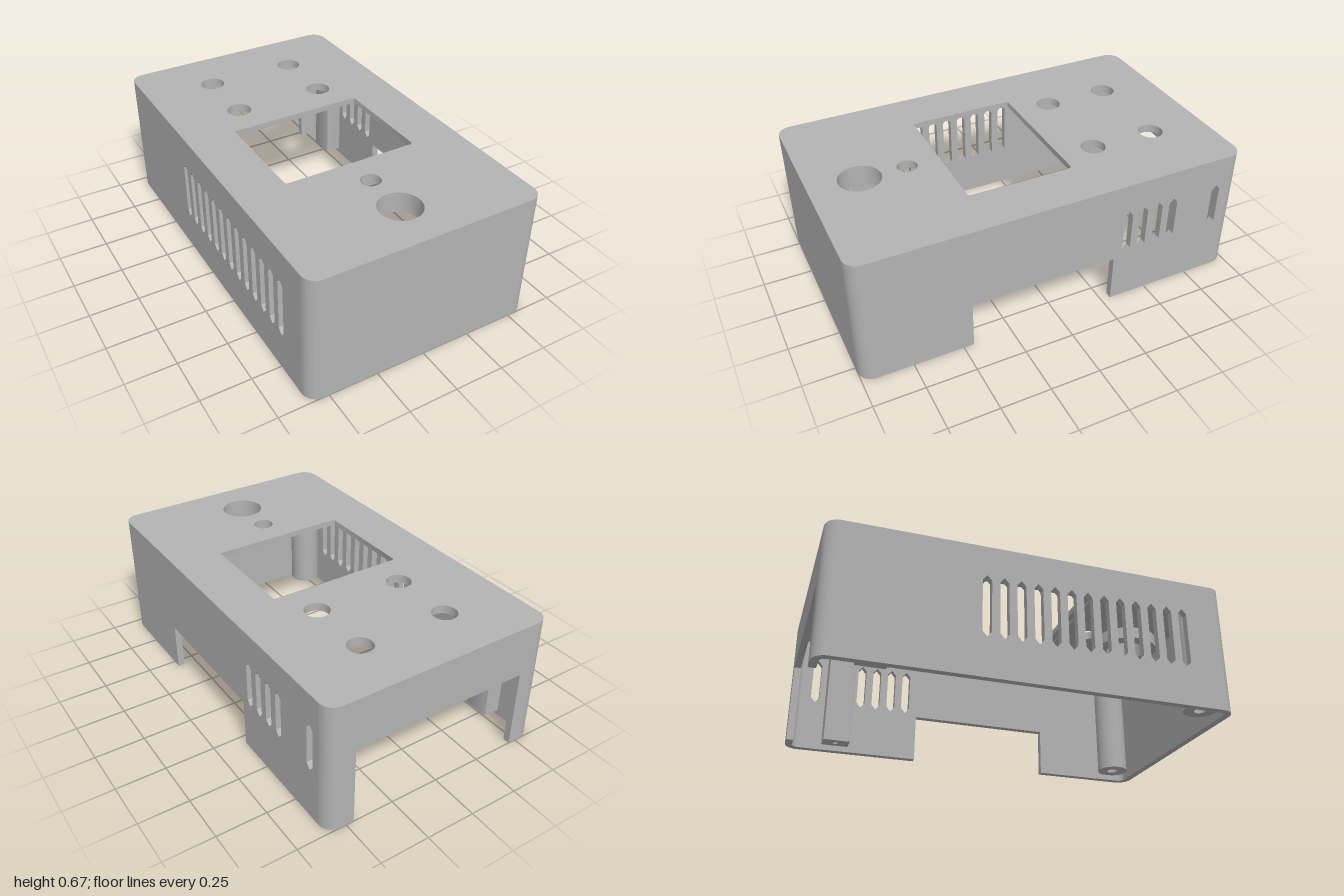
import * as THREE from 'three';
import { toCreasedNormals } from 'three/addons/utils/BufferGeometryUtils.js';

const W = 0.6, L = 1, H = 0.67, T = 0.035, R = 0.07, ROOF = 0.64;

export function createModel() {
  const model = new THREE.Group();
  model.name = 'enclosure';
  const grey = new THREE.MeshStandardMaterial({ color: 0xb3b3b3 });
  grey.name = 'grey plastic';

  const extrude = (shape, depth) => toCreasedNormals(
    new THREE.ExtrudeGeometry(shape, { depth, bevelEnabled: false, curveSegments: 20 }), 0.6);
  const add = (name, geometry) => {
    const mesh = new THREE.Mesh(geometry, grey);
    mesh.name = name;
    model.add(mesh);
    return mesh;
  };
  const polygon = (pts, Type = THREE.Shape) => new Type(pts.map(([x, y]) => new THREE.Vector2(x, y)));
  const circle = (x, y, r, Type = THREE.Path) => new Type().absarc(x, y, r, 0, Math.PI * 2);
  const rounded = (x0, y0, x1, y1, r, Type = THREE.Shape) => {
    const p = new Type();
    p.absarc(x1 - r, y1 - r, r, 0, Math.PI / 2);
    p.absarc(x0 + r, y1 - r, r, Math.PI / 2, Math.PI);
    p.absarc(x0 + r, y0 + r, r, Math.PI, Math.PI * 1.5);
    p.absarc(x1 - r, y0 + r, r, Math.PI * 1.5, Math.PI * 2);
    p.closePath();
    return p;
  };
  // Horizontal slab: shape drawn in (x, -z), occupying y0..y1
  const slab = (name, shape, y0, y1) => add(name, extrude(shape, y1 - y0).rotateX(-Math.PI / 2).translate(0, y0, 0));
  // Upright tube with a round bore
  const tube = (name, x, z, r, bore, y0, y1) => {
    const s = circle(x, -z, r, THREE.Shape);
    s.holes.push(circle(x, -z, bore));
    slab(name, s, y0, y1);
  };
  // Vent slot with pointed ends
  const slot = (z, y0, y1) => {
    const w = 0.0225, t = 0.026;
    return polygon([[z, y0], [z + w, y0 + t], [z + w, y1 - t], [z, y1], [z - w, y1 - t], [z - w, y0 + t]], THREE.Path);
  };
  // Wall outline with an optional opening [from, to, height] along the bottom
  const wall = (half, opening) => {
    const pts = [[-half, 0]];
    if (opening) {
      const [a, b, h] = opening;
      pts.push([a, 0], [a, h], [b, h], [b, 0]);
    }
    pts.push([half, 0], [half, ROOF], [-half, ROOF]);
    return polygon(pts);
  };

  // Roof with button, dial and screen openings
  const holes = () => {
    const list = [circle(0, -0.515, 0.05), circle(0, -0.75, 0.105)];
    for (const x of [-0.235, 0.235]) for (const z of [-0.705, -0.37]) list.push(circle(x, -z, 0.062));
    return list;
  };
  const roof = rounded(-W, -L, W, L, R);
  roof.holes.push(...holes(), rounded(-0.35, -0.35, 0.35, 0.185, 0.015, THREE.Path));
  slab('roof', roof, ROOF, H);

  // Lining under the roof leaves a shallow pocket around the screen
  const lining = rounded(-W + T, -L + T, W - T, L - T, R - T);
  lining.holes.push(...holes(), rounded(-0.43, -0.38, 0.43, 0.215, 0.01, THREE.Path));
  slab('roofLining', lining, ROOF - 0.012, ROOF);

  // Front and back walls
  add('frontWall', extrude(wall(W - R), T).translate(0, 0, L - T));
  add('backWall', extrude(wall(W - R, [-0.46, 0.46, 0.41]), T).translate(0, 0, -L));

  // Side walls with vents
  const left = wall(L - R, [-0.3, 0.45, 0.25]);
  for (const z of [-0.365, -0.449, -0.533, -0.617, -0.866]) left.holes.push(slot(z, 0.268, 0.516));
  add('leftWall', extrude(left, T).rotateY(-Math.PI / 2).translate(W, 0, 0));
  const right = wall(L - R);
  for (let i = 0; i < 13; i++) right.holes.push(slot(-0.25 + i * 0.0838, 0.2, 0.516));
  add('rightWall', extrude(right, T).rotateY(-Math.PI / 2).translate(-W + T, 0, 0));

  // Rounded vertical corners
  const cornerAngles = { 0: [1, 1], 1: [-1, 1], 2: [-1, -1], 3: [1, -1] };
  for (const [q, [sx, sy]] of Object.entries(cornerAngles)) {
    const a = q * Math.PI / 2, b = a + Math.PI / 2;
    const cx = sx * (W - R), cy = sy * (L - R);
    const s = new THREE.Shape();
    s.absarc(cx, cy, R, a, b, false);
    s.absarc(cx, cy, R - T, b, a, true);
    s.closePath();
    slab('corner', s, 0, ROOF);
  }

  for (const side of [-1, 1]) {
    // Round screw posts at the front
    tube('frontPost', side * 0.49, 0.87, 0.082, 0.03, 0.03, ROOF);
    // Square screw posts at the back
    const x = side * 0.525;
    const post = rounded(x - 0.046, 0.67, x + 0.046, 0.81, 0.004);
    post.holes.push(circle(x, 0.74, 0.014));
    slab('backPost', post, 0.03, ROOF);
    // Standoffs for the screen board
    for (const z of [-0.14, 0.38]) tube('screenStandoff', side * 0.49, z, 0.03, 0.012, 0.58, ROOF);
  }

  // Collar beneath the dial opening
  tube('dialCollar', 0, 0.75, 0.167, 0.105, 0.565, ROOF);

  return model;
}
